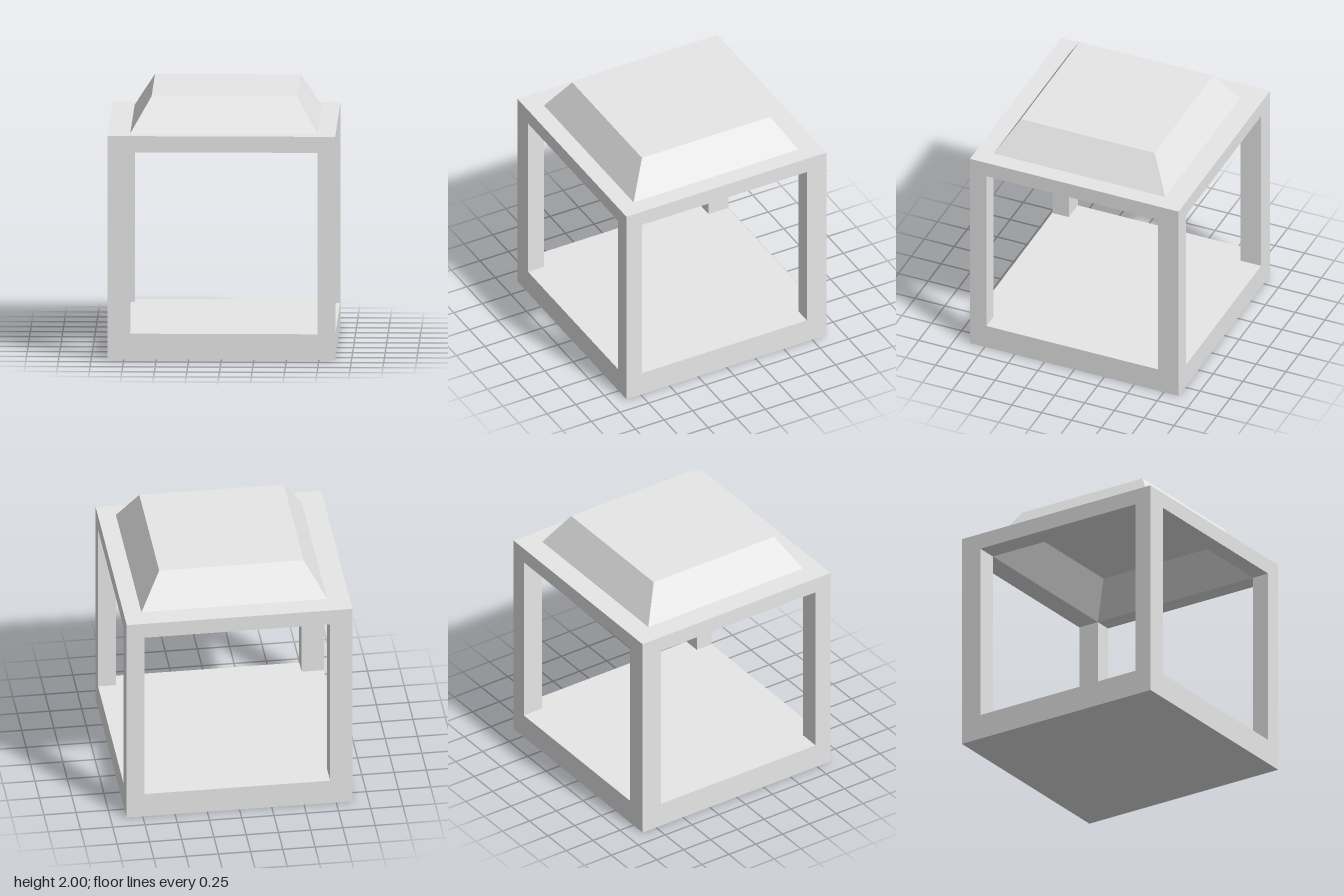
import * as THREE from 'three';

const OUT = 0.875;            // half width of the frame
const LO = -0.703, HI = 0.737; // inner limits of the opening, slightly off centre
const FLOOR = 0.2, BEAM = 1.61, TOP = 1.735, PEAK = 2.0;
const SLOPE = 0.16;           // inward run of the roof sides

const grey = new THREE.MeshStandardMaterial({ color: 0xe7e7e7 });
grey.name = 'light grey';

function addMesh(parent, name, geometry) {
  const mesh = new THREE.Mesh(geometry, grey);
  mesh.name = name;
  parent.add(mesh);
  return mesh;
}

function box(parent, name, x0, x1, y0, y1, z0, z1) {
  const mesh = addMesh(parent, name, new THREE.BoxGeometry(x1 - x0, y1 - y0, z1 - z0));
  mesh.position.set((x0 + x1) / 2, (y0 + y1) / 2, (z0 + z1) / 2);
}

// Square cap with sloping sides, open below; inside reverses the faces
function capGeometry(y0, y1, inside) {
  const square = (a, b, y) => [[a, y, b], [b, y, b], [b, y, a], [a, y, a]];
  const low = square(LO, HI, y0);
  const high = square(LO + SLOPE, HI - SLOPE, y1);
  const points = [];
  const quad = (a, b, c, d) => {
    const corners = inside ? [a, c, b, a, d, c] : [a, b, c, a, c, d];
    corners.forEach((p) => points.push(...p));
  };
  for (let i = 0; i < 4; i++) {
    const j = (i + 1) % 4;
    quad(low[i], low[j], high[j], high[i]);
  }
  quad(...high);
  const geometry = new THREE.BufferGeometry();
  geometry.setAttribute('position', new THREE.Float32BufferAttribute(points, 3));
  geometry.computeVertexNormals();
  return geometry;
}

export function createModel() {
  const model = new THREE.Group();
  model.name = 'lantern';

  // Solid base plate
  box(model, 'base', -OUT, OUT, 0, FLOOR, -OUT, OUT);

  // Corner posts
  const spans = [[-OUT, LO], [HI, OUT]];
  for (const [x0, x1] of spans) {
    for (const [z0, z1] of spans) box(model, 'post', x0, x1, FLOOR, BEAM, z0, z1);
  }

  // Top frame around a square opening (shape y becomes -z)
  const outline = new THREE.Shape([[-OUT, -OUT], [OUT, -OUT], [OUT, OUT], [-OUT, OUT]]
    .map(([x, y]) => new THREE.Vector2(x, y)));
  outline.holes.push(new THREE.Path([[LO, -HI], [LO, -LO], [HI, -LO], [HI, -HI]]
    .map(([x, y]) => new THREE.Vector2(x, y))));
  const frame = addMesh(model, 'topFrame',
    new THREE.ExtrudeGeometry(outline, { depth: TOP - BEAM, bevelEnabled: false }));
  frame.rotation.x = -Math.PI / 2;
  frame.position.y = BEAM;

  // Hollow roof: outer shell and its lining, one beam thickness lower
  const roof = new THREE.Group();
  roof.name = 'roof';
  addMesh(roof, 'roofShell', capGeometry(TOP, PEAK, false));
  addMesh(roof, 'roofLining', capGeometry(BEAM, PEAK - (TOP - BEAM), true));
  model.add(roof);

  return model;
}
